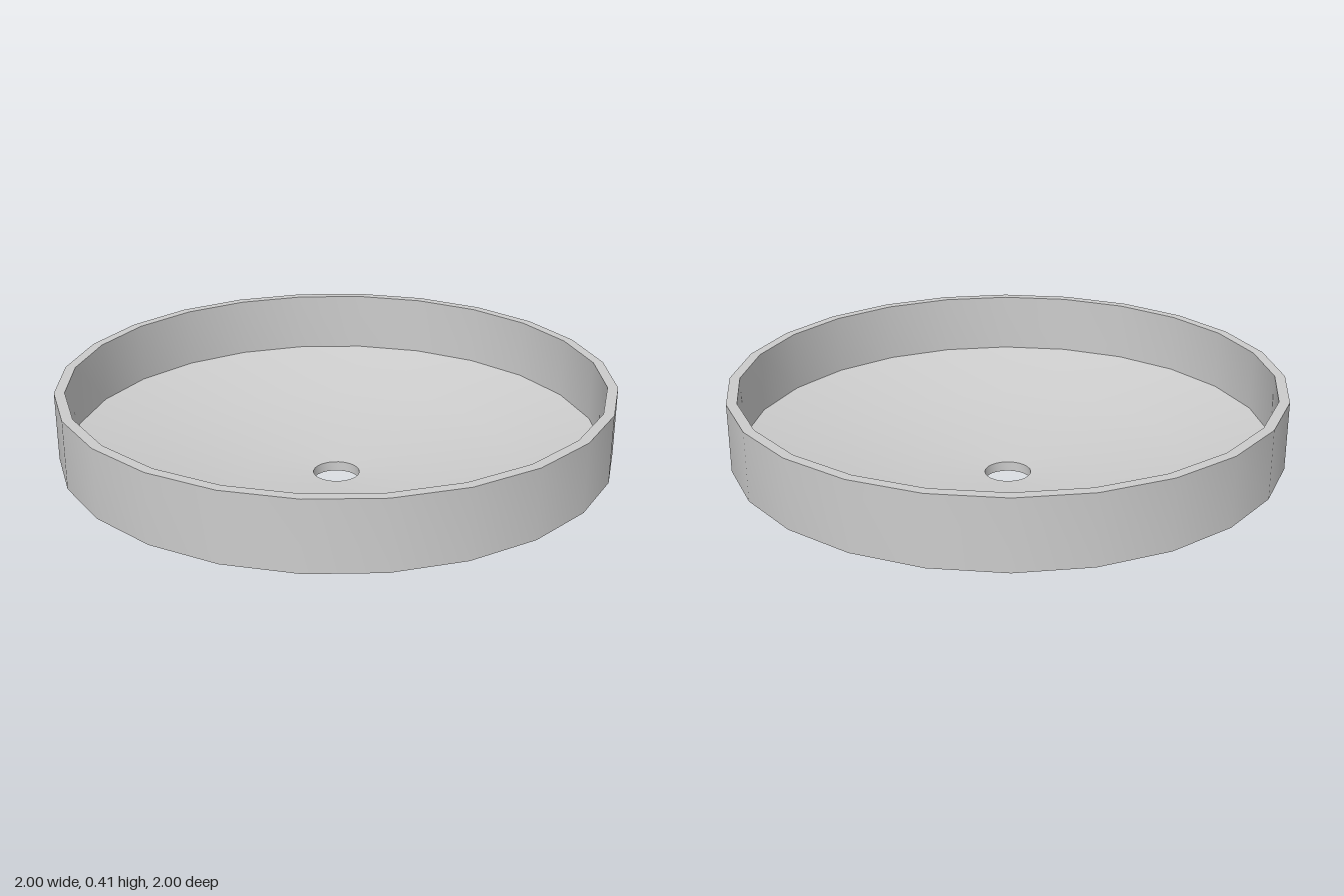
import * as THREE from 'three';
import { toCreasedNormals } from 'three/addons/utils/BufferGeometryUtils.js';

const SIDES = 24;
const HOLE = 0.085, OUTER = 1, INNER = 0.963;
const TOP = 0.41, CENTRE_Y = 3.2;      // centre of the shallow spherical floor
const R_UNDER = 3.2, R_FLOOR = 3.164;  // underside and inside curvature

// Points of a spherical floor from the drain hole out to the given radius
function floorArc(radius, edge) {
  return [HOLE, edge / 3, edge * 2 / 3, edge].map(
    (r) => new THREE.Vector2(r, CENTRE_Y - Math.sqrt(radius * radius - r * r))
  );
}

export function createModel() {
  const group = new THREE.Group();
  group.name = 'basin';

  // Closed profile: underside, outer wall, rim, inner wall, floor, drain hole
  const under = floorArc(R_UNDER, OUTER);
  const profile = [
    ...under,
    new THREE.Vector2(OUTER, TOP),
    new THREE.Vector2(INNER, TOP),
    ...floorArc(R_FLOOR, INNER).reverse(),
    under[0].clone(),
  ];
  const geometry = toCreasedNormals(new THREE.LatheGeometry(profile, SIDES), 0.5);

  const bowl = new THREE.Mesh(geometry, new THREE.MeshStandardMaterial({ color: 0xcccccc }));
  bowl.name = 'bowlWithDrainHole';
  group.add(bowl);
  return group;
}
